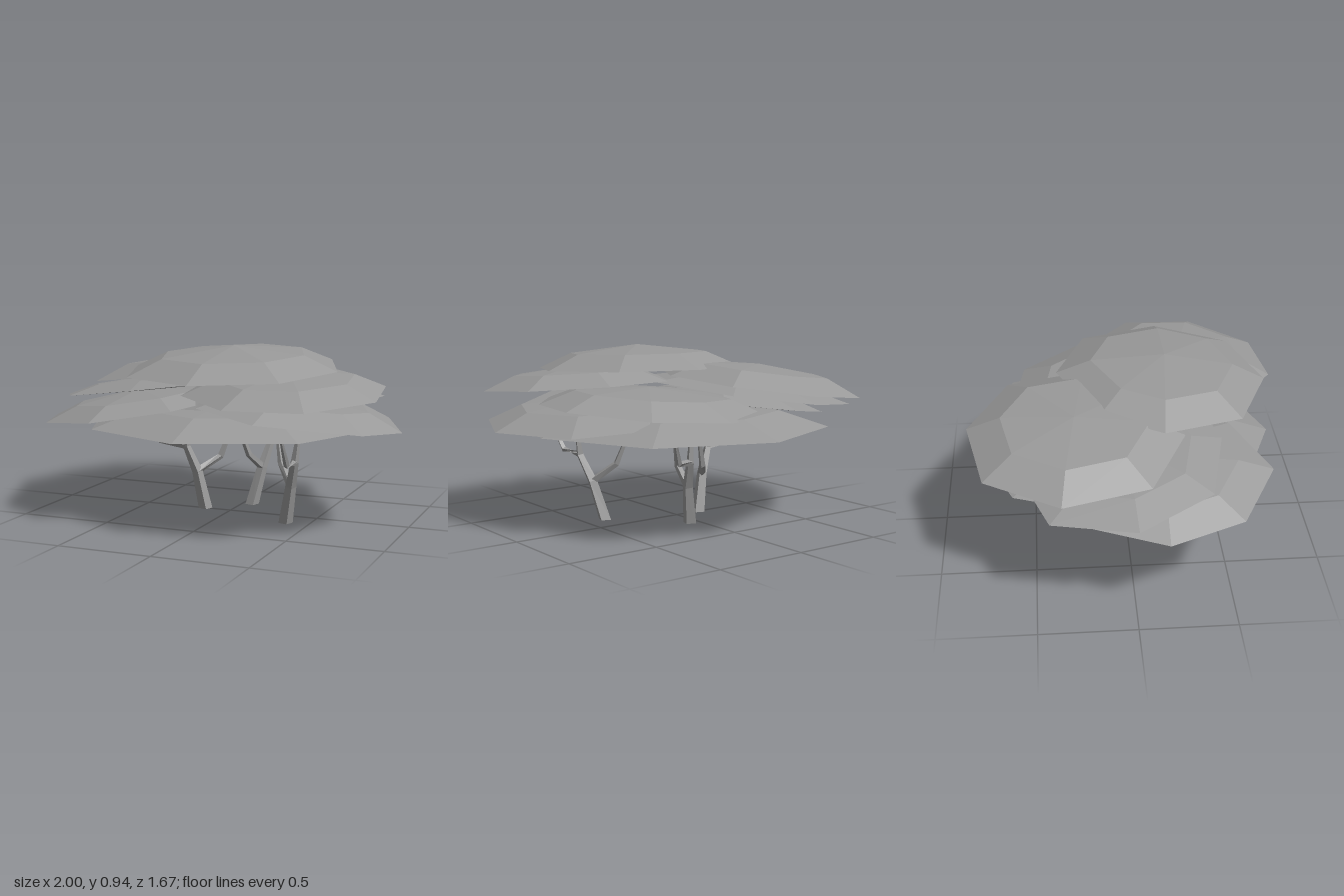
import * as THREE from 'three';

const material = new THREE.MeshStandardMaterial({ color: 0x999999, flatShading: true });

function meshFrom(name, vertices, indices) {
  const geometry = new THREE.BufferGeometry();
  geometry.setAttribute('position', new THREE.Float32BufferAttribute(vertices, 3));
  geometry.setIndex(indices);
  geometry.computeVertexNormals();
  const mesh = new THREE.Mesh(geometry, material);
  mesh.name = name;
  return mesh;
}

// Shallow faceted dome: tilted rim, raised inner ring, peak, and a slightly sunken underside.
// rim: [x, z] corners running from +x towards +z; tilt: rim height = y + sx * x + sz * z
function leafPad(name, rim, [y, sx, sz], [cx, cz], peak, rise, dip) {
  const n = rim.length, vertices = [], indices = [];
  const rimY = (x, z) => y + sx * x + sz * z;
  for (const [x, z] of rim) vertices.push(x, rimY(x, z), z);
  for (const [x, z] of rim) {
    const ix = cx + (x - cx) * 0.68, iz = cz + (z - cz) * 0.68;
    vertices.push(ix, rimY(ix, iz) + rise, iz);
  }
  vertices.push(cx, peak, cz, cx, rimY(cx, cz) - dip, cz);
  for (let i = 0; i < n; i++) {
    const j = (i + 1) % n;
    indices.push(i, n + i, j, j, n + i, n + j); // outer slope
    indices.push(2 * n, n + j, n + i); // crown
    indices.push(2 * n + 1, i, j); // underside
  }
  return meshFrom(name, vertices, indices);
}

// Tapered faceted limb through [x, y, z, radius] stations
function limb(name, stations, sides = 4) {
  const points = stations.map(([x, y, z]) => new THREE.Vector3(x, y, z));
  const vertices = [], indices = [], last = points.length - 1;
  points.forEach((p, k) => {
    const dir = points[Math.min(k + 1, last)].clone().sub(points[Math.max(k - 1, 0)]).normalize();
    if (k === 0 && p.y < 0.1) dir.set(0, 1, 0);
    const u = new THREE.Vector3(0, 0, 1).cross(dir);
    if (u.length() < 0.4) u.set(1, 0, 0).cross(dir);
    u.normalize();
    const v = dir.clone().cross(u);
    for (let i = 0; i < sides; i++) {
      const a = ((i + 0.3) / sides) * Math.PI * 2, r = stations[k][3];
      const q = p.clone().addScaledVector(u, Math.cos(a) * r).addScaledVector(v, Math.sin(a) * r);
      vertices.push(q.x, Math.max(q.y, 0), q.z);
    }
  });
  for (let k = 0; k < last; k++) {
    for (let i = 0; i < sides; i++) {
      const a = k * sides + i, b = k * sides + (i + 1) % sides;
      indices.push(a, b, a + sides, b, b + sides, a + sides);
    }
  }
  for (let i = 1; i < sides - 1; i++) {
    indices.push(0, i + 1, i);
    indices.push(last * sides, last * sides + i, last * sides + i + 1);
  }
  return meshFrom(name, vertices, indices);
}

// One tree: a leaning stem with a lower and an upper side branch
function trunk(name, stem, lower, upper) {
  const group = new THREE.Group();
  group.name = name;
  const taper = (points, radii) => points.map((p, i) => [...p, radii[i]]);
  group.add(limb('stem', taper(stem, [0.038, 0.029, 0.021, 0.01])));
  group.add(limb('lowerBranch', taper([stem[1], ...lower], [0.022, 0.018, 0.008])));
  group.add(limb('upperBranch', taper([stem[2], ...upper], [0.018, 0.016, 0.008])));
  return group;
}

export function createModel() {
  const model = new THREE.Group();
  model.name = 'treeCluster';

  // Trunks
  model.add(trunk('rightTrunk',
    [[-0.15, 0, 0], [-0.19, 0.21, 0.02], [-0.245, 0.35, 0.04], [-0.235, 0.5, 0.05]],
    [[-0.1, 0.28, -0.1], [-0.03, 0.5, -0.15]],
    [[-0.4, 0.37, 0.04], [-0.52, 0.5, 0.03]]));
  model.add(trunk('backTrunk',
    [[0.055, 0, -0.19], [0.1, 0.21, -0.23], [0.13, 0.35, -0.29], [0.13, 0.5, -0.3]],
    [[0.07, 0.3, -0.1], [0.03, 0.5, -0.01]],
    [[0.27, 0.37, -0.38], [0.33, 0.5, -0.43]]));
  model.add(trunk('leftTrunk',
    [[0.375, 0, 0.15], [0.42, 0.21, 0.2], [0.46, 0.35, 0.26], [0.48, 0.5, 0.26]],
    [[0.33, 0.31, 0.1], [0.28, 0.5, 0.04]],
    [[0.47, 0.36, 0.41], [0.48, 0.5, 0.52]]));

  // Canopy, from the wide base upward
  model.add(leafPad('basePad',
    [[0.85, 0], [0.58, 0.56], [0.01, 0.78], [-0.55, 0.56], [-0.77, 0], [-0.56, -0.6], [0.01, -0.84], [0.6, -0.61]],
    [0.509, 0, -0.01], [0.02, -0.02], 0.63, 0.085, 0.038));
  model.add(leafPad('rightFrontPad',
    [[0.05, 0.15], [-0.1, 0.55], [-0.47, 0.73], [-0.84, 0.53], [-0.99, 0.15], [-0.85, -0.25], [-0.5, -0.42], [-0.1, -0.27]],
    [0.645, 0.14, -0.02], [-0.47, 0.15], 0.675, 0.06, 0.02));
  model.add(leafPad('leftPad',
    [[1, 0.2], [0.88, 0.5], [0.42, 0.76], [0.05, 0.58], [-0.1, 0.15], [0.05, -0.28], [0.45, -0.44], [0.82, -0.24]],
    [0.635, -0.115, 0.035], [0.45, 0.15], 0.68, 0.07, 0.02));
  model.add(leafPad('rightPad',
    [[0.13, 0.03], [0, 0.35], [-0.37, 0.47], [-0.78, 0.38], [-1, 0], [-0.9, -0.42], [-0.5, -0.58], [-0.05, -0.42]],
    [0.725, 0.127, 0.05], [-0.44, -0.03], 0.735, 0.045, 0.02));
  model.add(leafPad('backLeftPad',
    [[0.79, 0.12], [0.55, 0.42], [0.15, 0.52], [-0.25, 0.32], [-0.4, -0.05], [-0.28, -0.45], [0.12, -0.62], [0.55, -0.54], [0.81, -0.18]],
    [0.605, 0.07, 0.03], [0.22, -0.05], 0.73, 0.08, 0.02));
  model.add(leafPad('leftFrontPad',
    [[0.93, 0.45], [0.68, 0.78], [0.29, 0.83], [-0.03, 0.58], [-0.06, 0.2], [0.16, -0.13], [0.55, -0.18], [0.88, 0.07]],
    [0.755, -0.01, -0.08], [0.44, 0.33], 0.83, 0.07, 0.02));
  model.add(leafPad('backRightPad',
    [[0.19, -0.2], [-0.03, 0.17], [-0.4, 0.28], [-0.78, 0.08], [-0.87, -0.36], [-0.65, -0.74], [-0.23, -0.83], [0.12, -0.62]],
    [0.785, 0.125, 0.04], [-0.34, -0.28], 0.84, 0.08, 0.02));
  model.add(leafPad('topPad',
    [[0.67, 0.22], [0.5, 0.61], [0.08, 0.76], [-0.33, 0.58], [-0.47, 0.17], [-0.31, -0.15], [0.12, -0.36], [0.51, -0.2]],
    [0.82, 0.015, -0.05], [0.11, 0.22], 0.935, 0.08, 0.02));

  return model;
}
